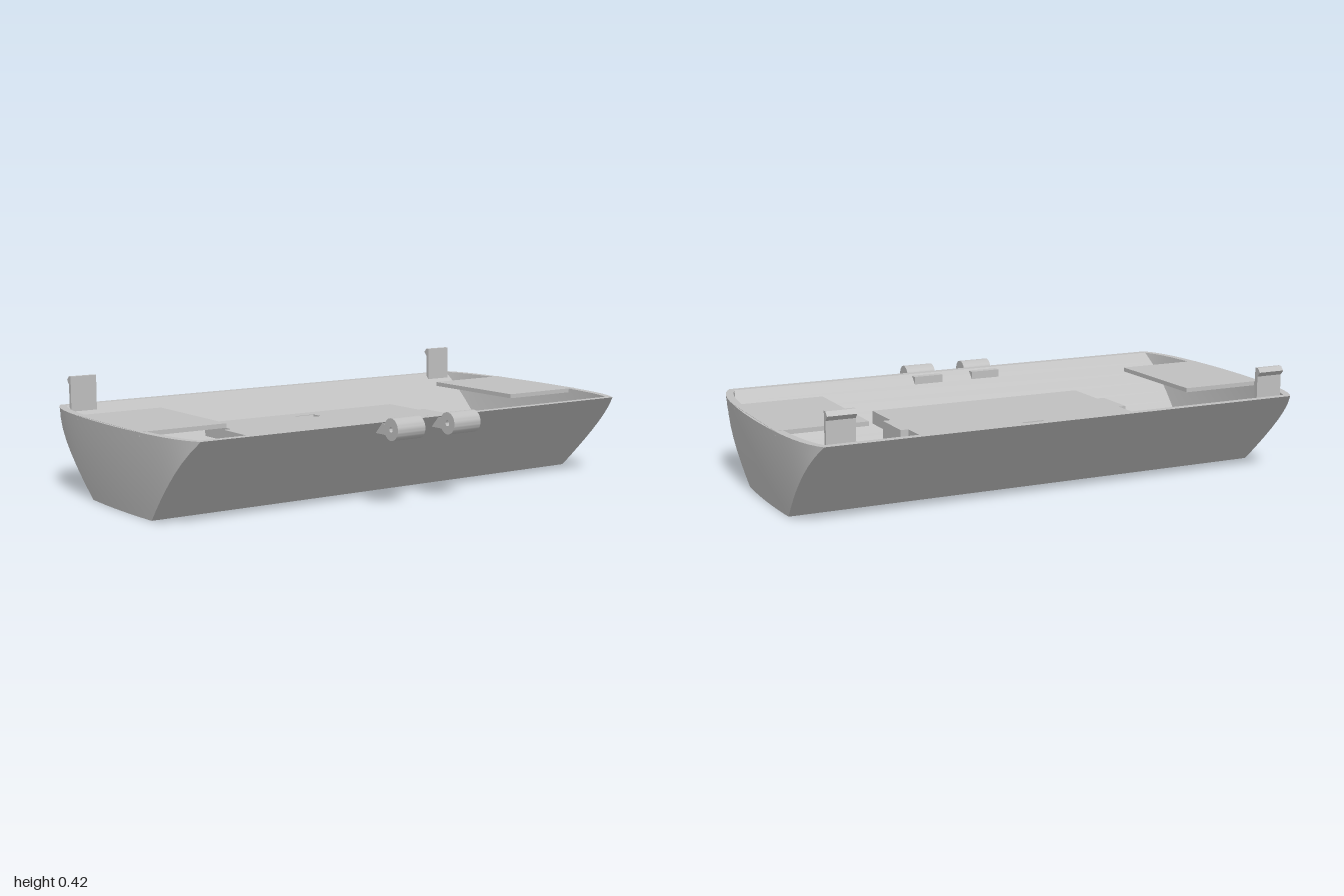
import * as THREE from 'three';
import { toCreasedNormals } from 'three/addons/utils/BufferGeometryUtils.js';

const grey = new THREE.MeshStandardMaterial({ color: 0xbfbfbf });
grey.name = 'plainGrey';

function add(parent, name, geometry) {
  const mesh = new THREE.Mesh(geometry, grey);
  mesh.name = name;
  parent.add(mesh);
  return mesh;
}

// Box given by its limits on each axis
function block(parent, name, [x0, x1], [y0, y1], [z0, z1]) {
  const mesh = add(parent, name, new THREE.BoxGeometry(x1 - x0, y1 - y0, z1 - z0));
  mesh.position.set((x0 + x1) / 2, (y0 + y1) / 2, (z0 + z1) / 2);
  return mesh;
}

// Side profile of [z, y] points, extruded along x
function sideExtrude(shape, x0, x1) {
  const geo = new THREE.ExtrudeGeometry(shape, { depth: x1 - x0, bevelEnabled: false, curveSegments: 20 });
  geo.rotateY(-Math.PI / 2);
  geo.translate(x1, 0, 0);
  return geo;
}

// Hollow tray: sloping long walls, bulging ends, open top
function trayGeometry() {
  const H = 0.31, N = 20, wall = 0.03, floor = 0.022, steps = 8;

  const ring = (y, inset) => {
    const u = y / H;
    const front = 0.18 + 0.30 * u - inset;
    const back = -0.26 - 0.31 * u + inset;
    const reach = 0.952 + 0.048 * u * (1.4 - 0.4 * u) - inset;
    const right = [];
    for (let i = 0; i <= N; i++) {
      const s = Math.sin((i / N - 0.5) * Math.PI);
      const z = (front + back) / 2 - s * (front - back) / 2;
      const t = (z + 0.045) / 0.525;
      right.push([reach - 0.045 * t ** 2 - 0.035 * t ** 8, y, z]);
    }
    const left = right.map(([x, h, z]) => [-x, h, z]).reverse();
    return [...right, ...left];
  };

  const rows = [];
  for (let i = 0; i <= steps; i++) rows.push(ring(H * i / steps, 0));
  for (let i = 0; i <= steps; i++) rows.push(ring(H + (floor - H) * i / steps, wall));

  const pos = [];
  const quad = (a, b, c, d) => pos.push(...a, ...b, ...d, ...b, ...c, ...d);
  const M = 2 * N + 2;
  for (let r = 0; r < rows.length - 1; r++) {
    for (let j = 0; j < M; j++) {
      const k = (j + 1) % M;
      quad(rows[r][j], rows[r][k], rows[r + 1][k], rows[r + 1][j]);
    }
  }
  // Underside and inner floor
  const under = rows[0], inner = rows[rows.length - 1];
  for (let j = 0; j < N; j++) {
    const l = M - 1 - j;
    quad(inner[j], inner[j + 1], inner[l - 1], inner[l]);
    quad(under[l], under[l - 1], under[j + 1], under[j]);
  }
  const geo = new THREE.BufferGeometry();
  geo.setAttribute('position', new THREE.Float32BufferAttribute(pos, 3));
  return toCreasedNormals(geo, 0.4);
}

// Raised centre platform with a small recessed slot
function platformGeometry() {
  const shape = new THREE.Shape();
  shape.moveTo(-0.44, -0.22).lineTo(0.44, -0.22).lineTo(0.44, 0.32).lineTo(-0.44, 0.32).closePath();
  const slot = new THREE.Path();
  slot.moveTo(-0.065, 0.21).lineTo(-0.065, 0.265).lineTo(0.02, 0.265).lineTo(0.02, 0.21).closePath();
  shape.holes.push(slot);
  const geo = new THREE.ExtrudeGeometry(shape, { depth: 0.05, bevelEnabled: false });
  geo.rotateX(-Math.PI / 2);
  geo.translate(0, 0.18, 0);
  return geo;
}

export function createModel() {
  const model = new THREE.Group();
  model.name = 'trayHousing';

  add(model, 'trayShell', trayGeometry());

  const platform = new THREE.Group();
  platform.name = 'centrePlatform';
  model.add(platform);
  add(platform, 'platformTop', platformGeometry());
  block(platform, 'slotFloor', [-0.065, 0.02], [0.182, 0.2], [-0.265, -0.21]);

  // Sloped back of the slot
  const ramp = new THREE.Shape();
  ramp.moveTo(-0.265, 0.195).lineTo(-0.25, 0.195).lineTo(-0.264, 0.228).lineTo(-0.265, 0.228).closePath();
  add(platform, 'slotRamp', sideExtrude(ramp, -0.065, 0.02));

  for (const s of [1, -1]) {
    const side = s > 0 ? 'left' : 'right';
    const span = (a, b) => (s > 0 ? [a, b] : [-b, -a]);

    // Post carrying the platform, and the cover plate at the tray's end
    block(platform, side + 'Post', span(0.44, 0.47), [0.015, 0.23], [-0.13, 0.04]);
    block(model, side + 'EndPlate', span(0.65, 0.99), [0.295, 0.311], [-0.28, 0.19]);

    // Snap hook standing on the back rim
    const hook = new THREE.Shape();
    hook.moveTo(-0.518, 0.28).lineTo(-0.518, 0.42).lineTo(-0.533, 0.42).lineTo(-0.548, 0.405)
      .lineTo(-0.533, 0.388).lineTo(-0.533, 0.28).closePath();
    const [x0, x1] = span(0.795, 0.9);
    add(model, side + 'SnapHook', sideExtrude(hook, x0, x1));
  }

  // Hinge knuckles on the front wall, each with a pin hole and an arm through the wall
  for (const [x0, x1, side] of [[0.06, 0.18, 'left'], [-0.19, -0.07, 'right']]) {
    const hinge = new THREE.Group();
    hinge.name = side + 'Hinge';
    model.add(hinge);
    const round = new THREE.Shape();
    round.absarc(0.528, 0.29, 0.04, 0, Math.PI * 2, false);
    const pin = new THREE.Path();
    pin.absarc(0.528, 0.29, 0.01, 0, Math.PI * 2, true);
    round.holes.push(pin);
    add(hinge, 'hingeBarrel', toCreasedNormals(sideExtrude(round, x0, x1), 0.6));
    block(hinge, 'hingeArm', [x0, x1], [0.267, 0.304], [0.415, 0.5]);
  }

  return model;
}
